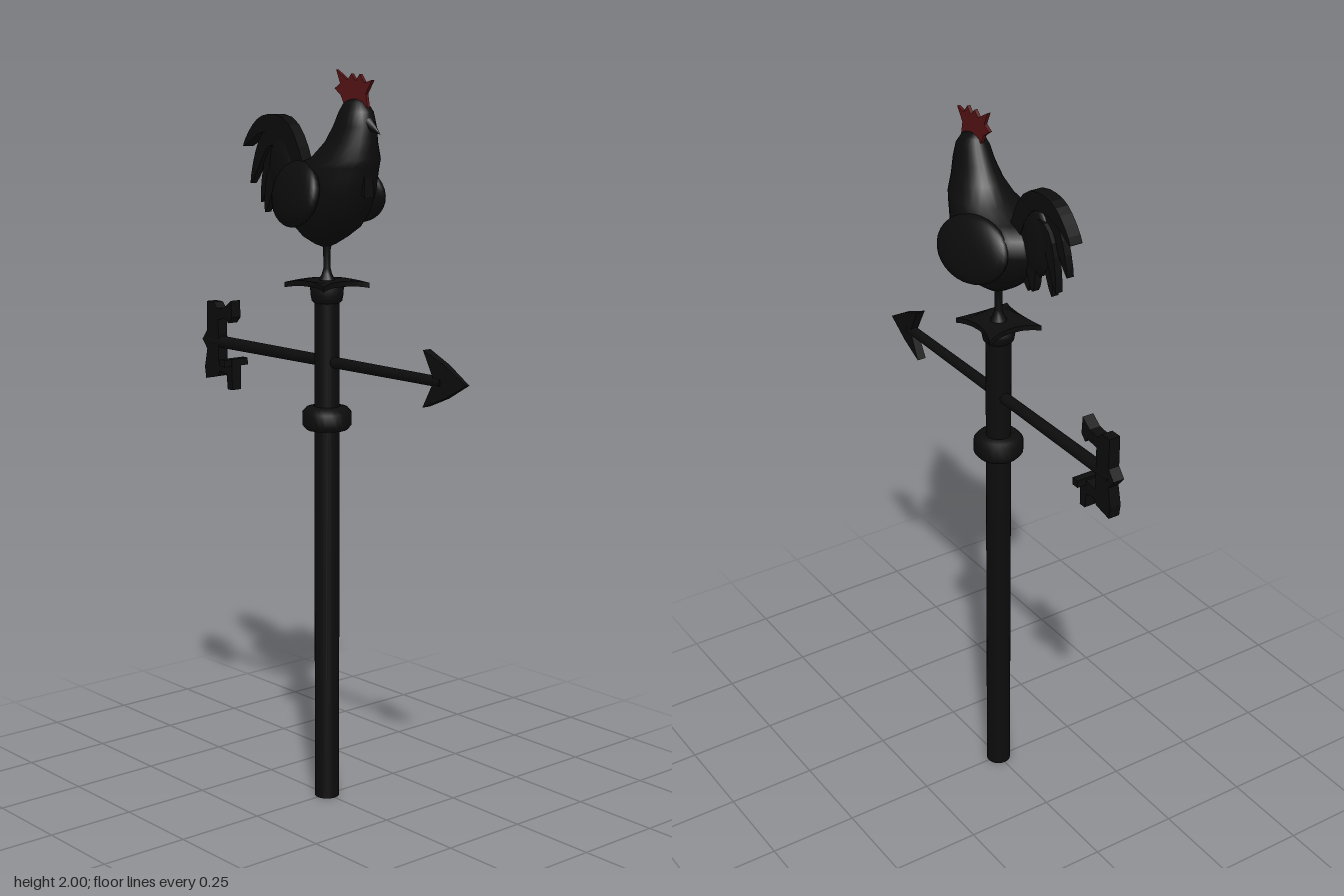
import * as THREE from 'three';

const black = new THREE.MeshStandardMaterial({ color: 0x0c0c0c });
black.name = 'black iron';
const red = new THREE.MeshStandardMaterial({ color: 0x581416 });
red.name = 'dark red';

const v2 = (pts) => pts.map(([a, b]) => new THREE.Vector2(a, b));

function add(parent, name, geometry, material = black) {
  const mesh = new THREE.Mesh(geometry, material);
  mesh.name = name;
  parent.add(mesh);
  return mesh;
}

// Upright plate from a [z, y] outline, centred on x = 0
function plate(points, thickness, bevel = 0) {
  const depth = thickness - 2 * bevel;
  const geo = new THREE.ExtrudeGeometry(new THREE.Shape(points), {
    depth, bevelEnabled: bevel > 0, bevelThickness: bevel, bevelSize: bevel, bevelOffset: -bevel, bevelSegments: 2,
  });
  return geo.translate(0, 0, -depth / 2).rotateY(-Math.PI / 2);
}

// Curved, pointed feather following a [z, y] centreline
function feather(path, width, thickness) {
  const curve = new THREE.SplineCurve(v2(path));
  const n = 14, upper = [], lower = [];
  for (let i = 0; i <= n; i++) {
    const t = i / n;
    const p = curve.getPoint(t), d = curve.getTangent(t);
    const w = (width / 2) * (1 - t ** 3) * (0.7 + 0.5 * t) + 0.001;
    upper.push(new THREE.Vector2(p.x - d.y * w, p.y + d.x * w));
    lower.unshift(new THREE.Vector2(p.x + d.y * w, p.y - d.x * w));
  }
  return plate([...upper, ...lower], thickness);
}

// Smooth body from elliptical levels [y, front z, back z, half width]
function loft(levels, sides = 24) {
  const pos = [], index = [];
  levels.forEach(([y, f, b, w]) => {
    for (let j = 0; j < sides; j++) {
      const a = (j / sides) * Math.PI * 2;
      pos.push(w * Math.sin(a), y, (f + b) / 2 + ((f - b) / 2) * Math.cos(a));
    }
  });
  for (let i = 0; i < levels.length - 1; i++) {
    for (let j = 0; j < sides; j++) {
      const k = (j + 1) % sides, r = i * sides, s = r + sides;
      index.push(r + j, r + k, s + k, r + j, s + k, s + j);
    }
  }
  const geo = new THREE.BufferGeometry();
  geo.setAttribute('position', new THREE.Float32BufferAttribute(pos, 3));
  geo.setIndex(index);
  geo.computeVertexNormals();
  return geo;
}

function createPost() {
  const g = new THREE.Group();
  g.name = 'post';
  add(g, 'pole', new THREE.CylinderGeometry(0.034, 0.034, 1.43, 24).translate(0, 0.715, 0));
  add(g, 'lowerCollar', new THREE.LatheGeometry(v2([
    [0.034, 1.045], [0.056, 1.045], [0.067, 1.058], [0.067, 1.092], [0.056, 1.105], [0.034, 1.108],
  ]), 24));
  add(g, 'upperCollar', new THREE.LatheGeometry(v2([
    [0.034, 1.388], [0.041, 1.394], [0.044, 1.41], [0.046, 1.442], [0, 1.446],
  ]), 24));

  // Four-pointed cap with drooping corners
  const star = new THREE.Shape();
  const c = 0.08, m = 0.045;
  star.moveTo(c, c);
  [[0, m, -c, c], [-m, 0, -c, -c], [0, -m, c, -c], [m, 0, c, c]].forEach((q) => star.quadraticCurveTo(...q));
  const cap = new THREE.ExtrudeGeometry(star, { depth: 0.014, bevelEnabled: false, curveSegments: 10 })
    .rotateX(-Math.PI / 2).translate(0, 1.44, 0);
  const p = cap.attributes.position;
  for (let i = 0; i < p.count; i++) {
    p.setY(i, p.getY(i) - 0.9 * (p.getX(i) ** 2 + p.getZ(i) ** 2));
  }
  cap.computeVertexNormals();
  add(g, 'cap', cap);
  add(g, 'spindle', new THREE.LatheGeometry(v2([
    [0.024, 1.445], [0.014, 1.465], [0.01, 1.48], [0.01, 1.53], [0.016, 1.56],
  ]), 12));
  return g;
}

function createArrow() {
  const g = new THREE.Group();
  g.name = 'arrow';
  add(g, 'shaft', new THREE.CylinderGeometry(0.014, 0.018, 0.96, 12)
    .rotateX(Math.PI / 2).translate(0, 1.23, -0.03));

  // Barbed head, thinning towards its point
  const head = plate(v2([[0.54, 1.233], [0.465, 1.276], [0.39, 1.307], [0.425, 1.24],
    [0.425, 1.225], [0.39, 1.159], [0.465, 1.19]]), 0.026);
  const p = head.attributes.position;
  for (let i = 0; i < p.count; i++) p.setX(i, p.getX(i) * (1 - (p.getZ(i) - 0.39) * 3.8));
  head.computeVertexNormals();
  add(g, 'head', head);

  // Ornamental tail bracket
  add(g, 'bracket', plate(v2([
    [-0.4, 1.355], [-0.43, 1.333], [-0.465, 1.328], [-0.48, 1.344], [-0.513, 1.344], [-0.513, 1.26],
    [-0.535, 1.233], [-0.513, 1.206], [-0.525, 1.153], [-0.52, 1.12], [-0.465, 1.132], [-0.455, 1.148],
    [-0.423, 1.143], [-0.418, 1.1], [-0.397, 1.1], [-0.397, 1.185], [-0.43, 1.18], [-0.46, 1.175],
    [-0.46, 1.296], [-0.423, 1.302], [-0.413, 1.29], [-0.397, 1.307],
  ]), 0.032));
  add(g, 'crossBar', new THREE.BoxGeometry(0.084, 0.02, 0.022).translate(0, 1.178, -0.41));
  return g;
}

function createRooster() {
  const g = new THREE.Group();
  g.name = 'rooster';
  add(g, 'body', loft([
    [1.535, 0, -0.01, 0.001], [1.545, 0.02, -0.03, 0.03], [1.566, 0.055, -0.065, 0.062],
    [1.593, 0.1, -0.1, 0.082], [1.635, 0.135, -0.145, 0.098], [1.688, 0.158, -0.165, 0.105],
    [1.73, 0.168, -0.15, 0.1], [1.752, 0.174, -0.1, 0.092], [1.773, 0.18, -0.03, 0.08],
    [1.815, 0.177, 0.018, 0.061], [1.857, 0.178, 0.045, 0.048], [1.894, 0.168, 0.065, 0.04],
    [1.918, 0.15, 0.08, 0.027], [1.928, 0.12, 0.105, 0.001],
  ]));

  // Folded wings, spread a little at the shoulder
  [1, -1].forEach((s) => {
    const wing = add(g, s > 0 ? 'leftWing' : 'rightWing', new THREE.SphereGeometry(1, 24, 16));
    wing.scale.set(0.034, 0.088, 0.12);
    wing.position.set(s * 0.092, 1.68, -0.02);
    wing.rotation.set(0.1, s * 0.24, s * 0.22);
  });

  add(g, 'beak', new THREE.ConeGeometry(0.02, 0.064, 10).rotateX(2.1).translate(0, 1.854, 0.183));
  add(g, 'breastFeather', plate(v2([[0.15, 1.74], [0.166, 1.73], [0.168, 1.675], [0.145, 1.69]]), 0.03));

  add(g, 'comb', plate(v2([
    [0.165, 1.905], [0.158, 1.94], [0.182, 1.975], [0.152, 1.968], [0.135, 1.99], [0.118, 1.972],
    [0.102, 1.99], [0.086, 1.974], [0.042, 2.0], [0.058, 1.965], [0.036, 1.952], [0.06, 1.935], [0.08, 1.9],
  ]), 0.009), red);

  // Tail: one thick sickle plume over a fan of thinner feathers
  add(g, 'sicklePlume', feather([[-0.07, 1.66], [-0.115, 1.78], [-0.165, 1.845],
    [-0.235, 1.855], [-0.285, 1.835], [-0.335, 1.79]], 0.056, 0.036));
  const fan = [
    [[-0.1, 1.68], [-0.16, 1.8], [-0.24, 1.81], [-0.305, 1.69]],
    [[-0.1, 1.68], [-0.17, 1.77], [-0.23, 1.77], [-0.275, 1.64]],
    [[-0.1, 1.68], [-0.16, 1.73], [-0.21, 1.72], [-0.242, 1.615]],
    [[-0.08, 1.68], [-0.13, 1.69], [-0.165, 1.665], [-0.175, 1.605]],
    [[-0.06, 1.68], [-0.1, 1.665], [-0.125, 1.64], [-0.14, 1.59]],
  ];
  fan.forEach((path, i) => {
    const f = add(g, 'tailFeather', feather(path, 0.058, 0.02));
    f.position.x = (i % 2 ? 1 : -1) * 0.006;
  });
  add(g, 'tailBase', new THREE.SphereGeometry(1, 20, 14).scale(0.025, 0.095, 0.06).translate(0, 1.74, -0.175));
  return g;
}

export function createModel() {
  const model = new THREE.Group();
  model.name = 'weatherVane';
  model.add(createPost(), createArrow(), createRooster());
  return model;
}
